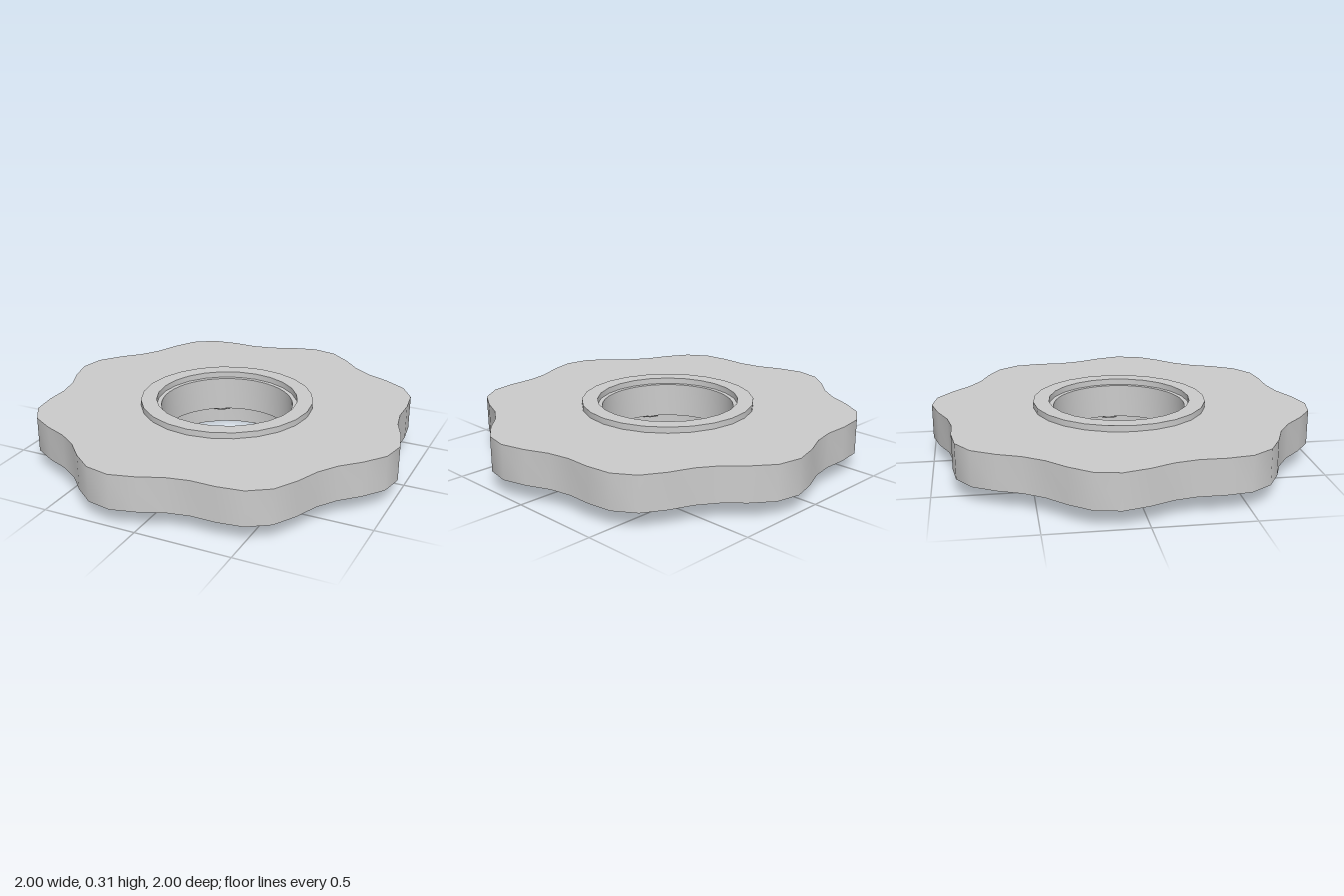
import * as THREE from 'three';
import { toCreasedNormals } from 'three/addons/utils/BufferGeometryUtils.js';

const grey = new THREE.MeshStandardMaterial({ color: 0xcccccc });
const dark = new THREE.MeshStandardMaterial({ color: 0x666666 });

function addMesh(parent, name, geometry, material = grey) {
  const mesh = new THREE.Mesh(geometry, material);
  mesh.name = name;
  parent.add(mesh);
  return mesh;
}

// Flat ring with a rectangular section, from y0 up to y1
function ringGeometry(inner, outer, y0, y1) {
  const section = [[outer, y0], [outer, y1], [inner, y1], [inner, y0], [outer, y0]];
  const lathe = new THREE.LatheGeometry(section.map(([r, y]) => new THREE.Vector2(r, y)), 24);
  return toCreasedNormals(lathe, 0.6);
}

// Eight-lobed plate with a round bore
function plateGeometry(y0, y1) {
  const outline = [], bore = [];
  for (let i = 0; i < 48; i++) {
    const a = (i / 48) * Math.PI * 2;
    const r = 0.965 + 0.05 * Math.sin(8 * a);
    outline.push(new THREE.Vector2(r * Math.cos(a), r * Math.sin(a)));
    bore.push(new THREE.Vector2(0.353 * Math.cos(a), 0.353 * Math.sin(a)));
  }
  const shape = new THREE.Shape(outline);
  shape.holes.push(new THREE.Path(bore));
  const geometry = new THREE.ExtrudeGeometry(shape, { depth: y1 - y0, bevelEnabled: false });
  geometry.rotateX(Math.PI / 2).translate(0, y1, 0);
  return toCreasedNormals(geometry, 0.6);
}

export function createModel() {
  const group = new THREE.Group();
  group.name = 'lobedFlange';

  addMesh(group, 'lobedPlate', plateGeometry(0.09, 0.275));
  addMesh(group, 'topCollar', ringGeometry(0.378, 0.462, 0.275, 0.307));
  addMesh(group, 'bottomCollar', ringGeometry(0.378, 0.48, 0, 0.09));

  // Two circles of six thin bolt pads under the plate
  const pad = new THREE.CylinderGeometry(0.075, 0.075, 0.012, 10);
  for (const [name, radius] of [['outerPad', 0.815], ['innerPad', 0.43]]) {
    for (let i = 0; i < 6; i++) {
      const a = (i * Math.PI) / 3;
      addMesh(group, name, pad, dark).position.set(radius * Math.cos(a), 0.086, radius * Math.sin(a));
    }
  }
  return group;
}
